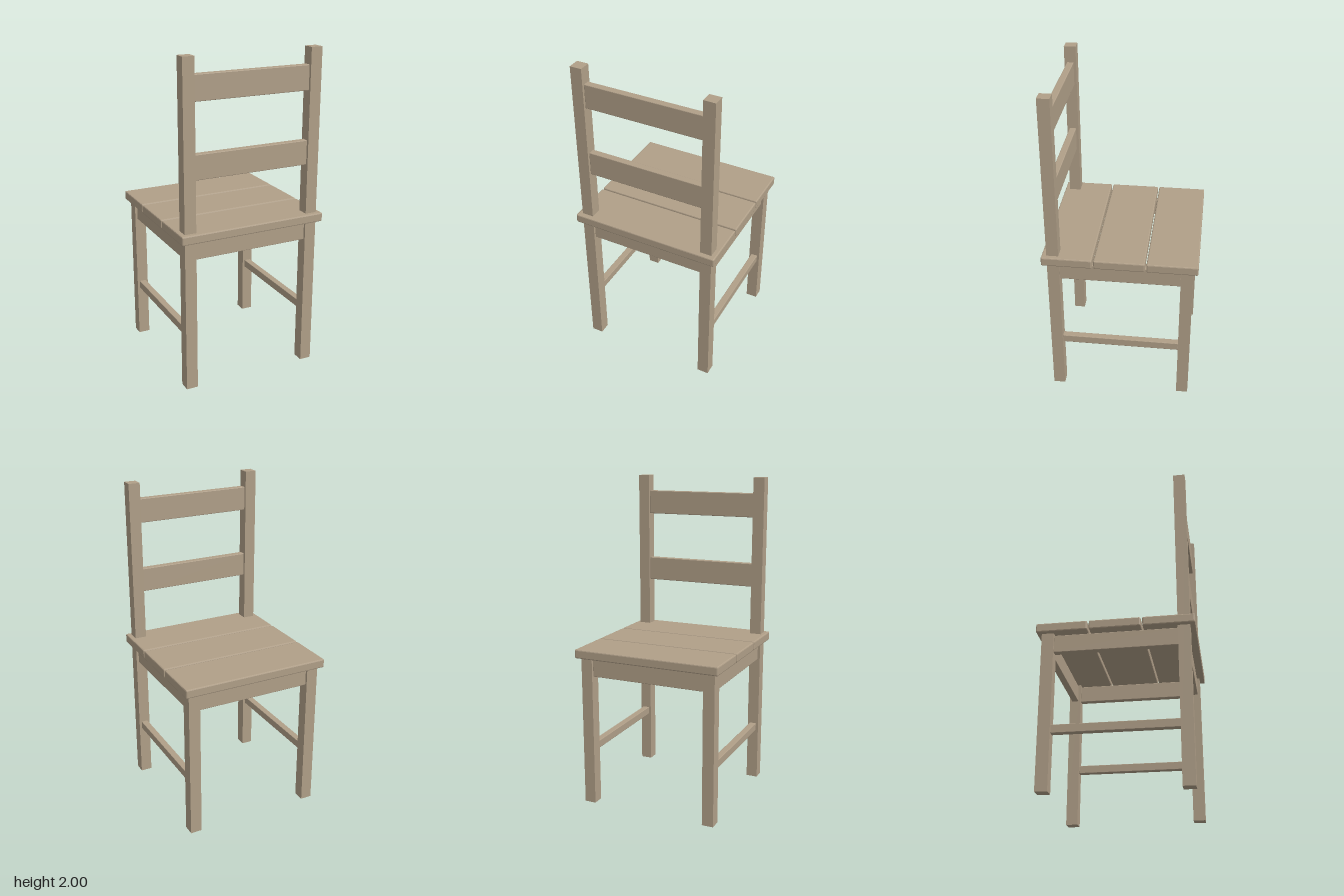
import * as THREE from 'three';
import { RoundedBoxGeometry } from 'three/addons/geometries/RoundedBoxGeometry.js';

export function createModel() {
  const chair = new THREE.Group();
  chair.name = 'chair';
  const wood = new THREE.MeshStandardMaterial({ color: 0xb09f88, flatShading: true });

  // A timber of size w, h, d standing on height y; a bevel chamfers its edges
  function timber(name, w, h, d, x, y, z, bevel = 0) {
    const geometry = bevel
      ? new RoundedBoxGeometry(w, h, d, 1, bevel)
      : new THREE.BoxGeometry(w, h, d);
    const mesh = new THREE.Mesh(geometry, wood);
    mesh.name = name;
    mesh.position.set(x, y + h / 2, z);
    chair.add(mesh);
  }

  const reach = 0.4;    // leg centres from the middle
  const leg = 0.072;    // leg thickness
  const span = 2 * reach - leg + 0.004;
  const rail = 0.042;   // rail thickness

  // Seat of three planks with narrow gaps
  for (const i of [-1, 0, 1]) timber('seatPlank', 0.93, 0.055, 0.304, 0, 0.945, i * 0.314, 0.007);

  for (const [side, s] of [['left', 1], ['right', -1]]) {
    // Tall posts carry the backrest, short legs end under the seat
    timber(side + 'BackPost', leg, 2, leg, s * reach, 0, reach);
    timber(side + 'ShortLeg', leg, 0.946, leg, s * reach, 0, -reach);
    // Side apron and low stretcher
    timber(side + 'Apron', rail, 0.107, span, s * reach, 0.829, 0, 0.003);
    timber(side + 'Stretcher', rail, 0.05, span, s * reach, 0.334, 0, 0.003);
  }

  // Aprons across the width
  timber('backApron', span, 0.107, rail, 0, 0.829, reach, 0.003);
  timber('shortLegApron', span, 0.107, rail, 0, 0.829, -reach, 0.003);

  // Backrest slats
  for (const y of [1.305, 1.75]) timber('backSlat', span, 0.15, rail, 0, y, reach, 0.004);

  return chair;
}
